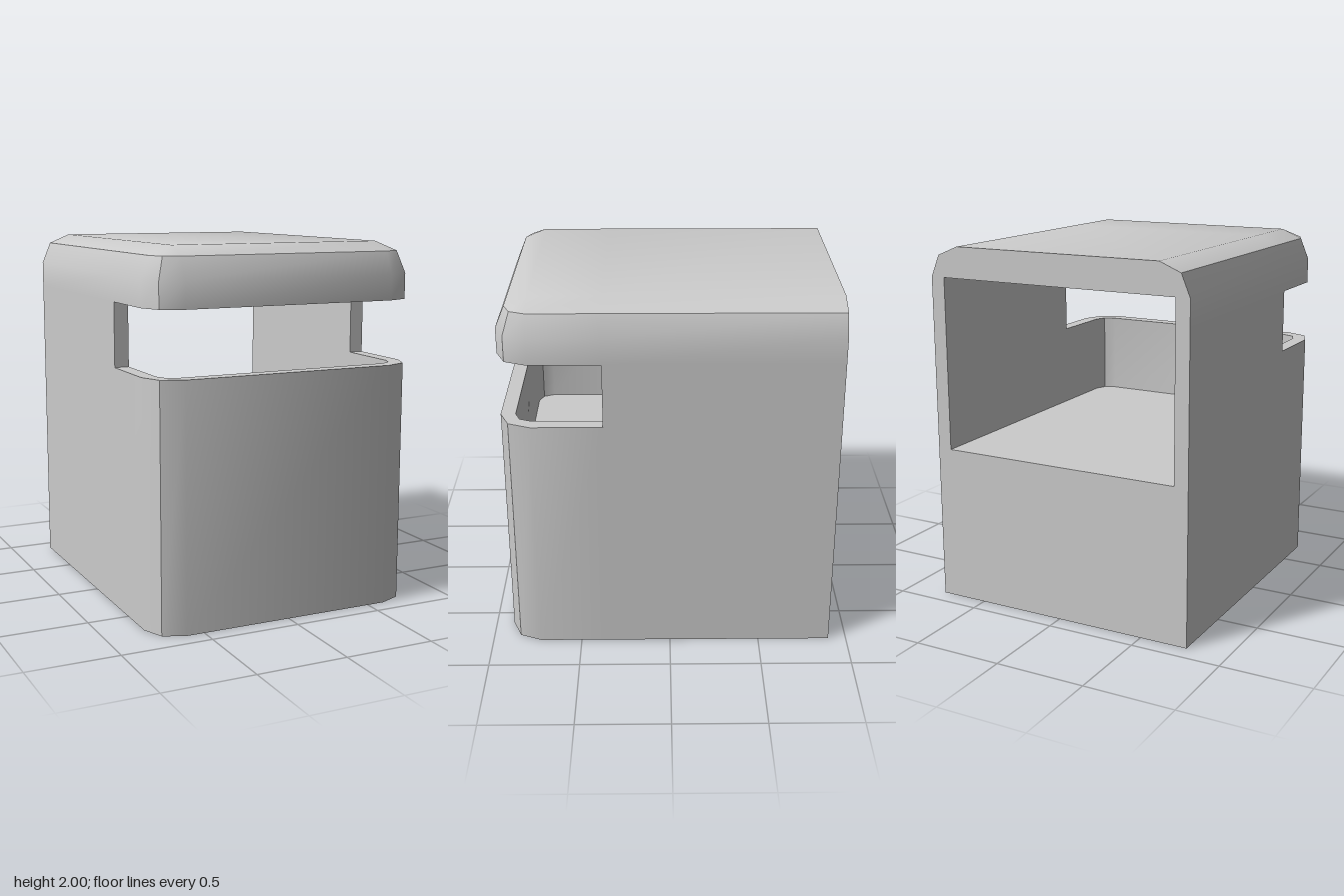
import * as THREE from 'three';
import { toCreasedNormals } from 'three/addons/utils/BufferGeometryUtils.js';

const BACK = -0.9, SLOT_Z = 0.35, SLOT_LOW = 1.34, SLOT_HIGH = 1.69;
const CORE_X = 0.6, CORE_Z = 0.73;       // centres of the rounded front corners
const OUTER_R = 0.17, INNER_R = 0.09;
const FLOOR = 0.87, CEILING = 1.83;

// U-shaped plan outline at height y, from the right back corner round the front to the left
function outline(r, y) {
  const m = r * Math.SQRT1_2;
  const half = [
    [CORE_X + r, BACK], [CORE_X + r, SLOT_Z], [CORE_X + r, CORE_Z],
    [CORE_X + m, CORE_Z + m], [CORE_X, CORE_Z + r],
  ];
  return [
    ...half.map(([x, z]) => new THREE.Vector3(-x, y, z)),
    ...half.reverse().map(([x, z]) => new THREE.Vector3(x, y, z)),
  ];
}

// Joins pairs of point rows with faces, leaving out triangles without area
function surface(strips) {
  const pos = [];
  const tri = (a, b, c) => {
    if (new THREE.Triangle(a, b, c).getArea() < 1e-7) return;
    for (const p of [a, b, c]) pos.push(p.x, p.y, p.z);
  };
  for (const [a, b] of strips) {
    for (let i = 0; i < a.length - 1; i++) {
      tri(a[i], a[i + 1], b[i + 1]);
      tri(a[i], b[i + 1], b[i]);
    }
  }
  const geo = new THREE.BufferGeometry();
  geo.setAttribute('position', new THREE.Float32BufferAttribute(pos, 3));
  return toCreasedNormals(geo, 0.6);
}

// Two wall strips behind the slot, one on each side
const sideBands = (lo, hi) => [
  [lo.slice(0, 2), hi.slice(0, 2)],
  [lo.slice(8), hi.slice(8)],
];
// Flat sheet spanning an outline, facing up
const sheet = (o) => [o.slice(0, 5), o.slice(5).reverse()];
const flip = ([a, b]) => [b, a];

export function createModel() {
  const group = new THREE.Group();
  const material = new THREE.MeshStandardMaterial({ color: 0xcccccc, side: THREE.DoubleSide });
  const add = (name, geo) => {
    const mesh = new THREE.Mesh(geo, material);
    mesh.name = name;
    group.add(mesh);
    return mesh;
  };

  const outLow = outline(OUTER_R, SLOT_LOW), outHigh = outline(OUTER_R, SLOT_HIGH);
  const inLow = outline(INNER_R, SLOT_LOW), inHigh = outline(INNER_R, SLOT_HIGH);

  // Outer walls, open at the bottom, with a rounded roof
  const shoulder = outline(OUTER_R, 1.83), bevel = outline(0.12, 1.95), roof = outline(0, 2);
  add('outerShell', surface([
    [outline(OUTER_R, 0), outLow],
    ...sideBands(outLow, outHigh),
    [outHigh, shoulder], [shoulder, bevel], [bevel, roof],
    sheet(roof),
  ]));

  // Inner chamber with floor and ceiling
  const floor = outline(INNER_R, FLOOR), ceiling = outline(INNER_R, CEILING);
  add('innerChamber', surface([
    flip([floor, inLow]),
    ...sideBands(inLow, inHigh).map(flip),
    flip([inHigh, ceiling]),
    sheet(floor), flip(sheet(ceiling)),
  ]));

  // Edges of the slot that wraps round the front
  const front = (o) => o.slice(1, 9);
  add('slotRim', surface([
    [front(outLow), front(inLow)],
    [front(inHigh), front(outHigh)],
    [[outLow[1], inLow[1]], [outHigh[1], inHigh[1]]],
    [[inLow[8], outLow[8]], [inHigh[8], outHigh[8]]],
  ]));

  // Flat back wall with a rectangular opening
  const wall = new THREE.Shape([
    [-0.77, 0], [0.77, 0], [0.77, 1.83], [0.72, 1.95], [0.6, 2],
    [-0.6, 2], [-0.72, 1.95], [-0.77, 1.83],
  ].map(([x, y]) => new THREE.Vector2(x, y)));
  const w = CORE_X + INNER_R;
  wall.holes.push(new THREE.Path([
    [-w, FLOOR], [-w, CEILING], [w, CEILING], [w, FLOOR],
  ].map(([x, y]) => new THREE.Vector2(x, y))));
  const back = add('backWall', new THREE.ShapeGeometry(wall));
  back.rotation.y = Math.PI;
  back.position.z = BACK;

  return group;
}
